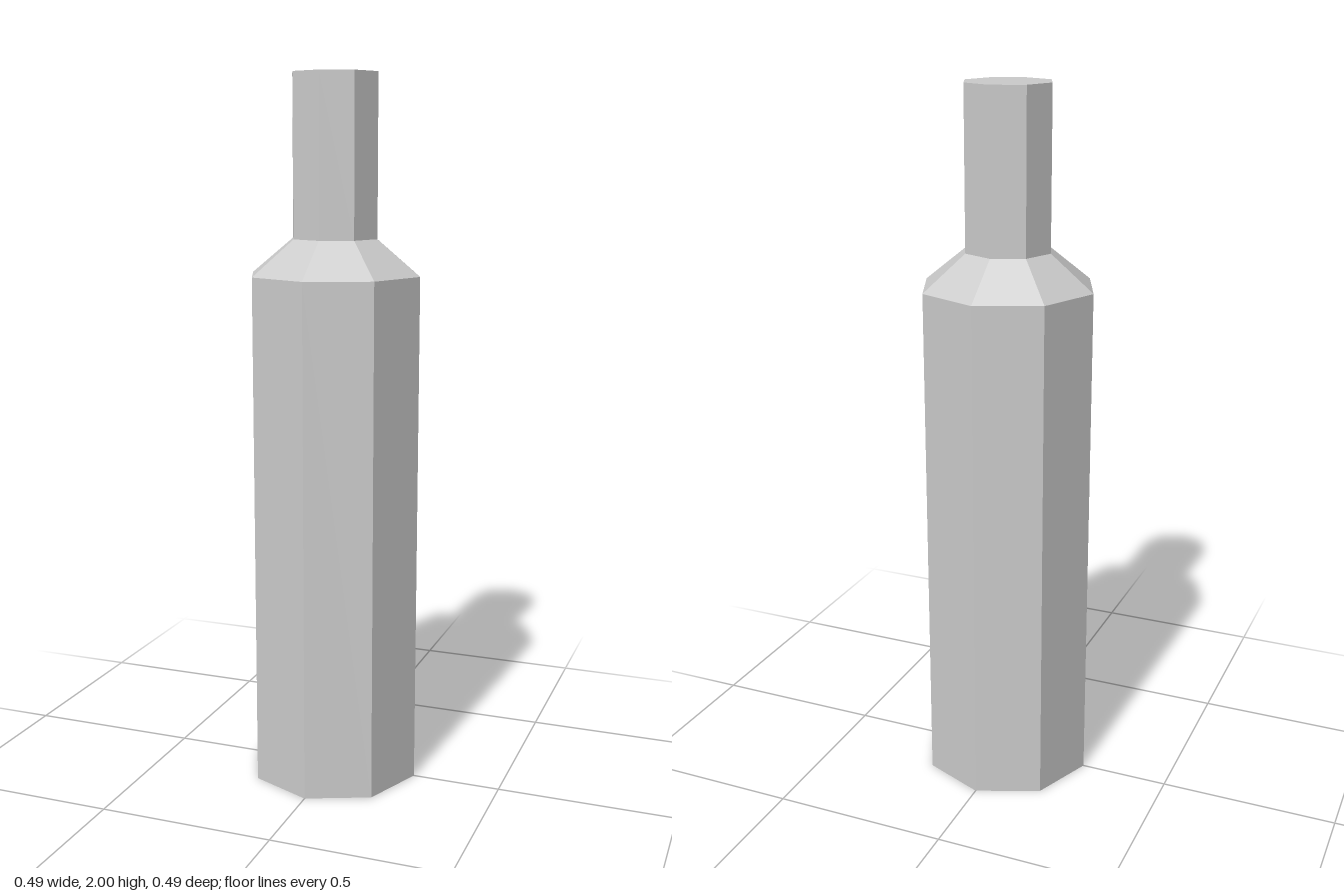
import * as THREE from 'three';

const SIDES = 8;
const BODY_R = 0.247, NECK_R = 0.124;
const SHOULDER_Y = 1.457, NECK_Y = 1.556, TOP_Y = 2;

export function createModel() {
  const bottle = new THREE.Group();
  bottle.name = 'bottle';
  const material = new THREE.MeshStandardMaterial({ color: 0xcccccc, flatShading: true });

  // Turns a [radius, height] profile, listed bottom to top, into an octagonal part
  const addPart = (name, profile) => {
    const points = profile.map(([r, y]) => new THREE.Vector2(r, y));
    const mesh = new THREE.Mesh(new THREE.LatheGeometry(points, SIDES), material);
    mesh.name = name;
    bottle.add(mesh);
  };

  // Body with closed base
  addPart('body', [[0, 0], [BODY_R, 0], [BODY_R, SHOULDER_Y]]);
  // Sloping shoulder
  addPart('shoulder', [[BODY_R, SHOULDER_Y], [NECK_R, NECK_Y]]);
  // Neck with closed top
  addPart('neck', [[NECK_R, NECK_Y], [NECK_R, TOP_Y], [0, TOP_Y]]);

  return bottle;
}
